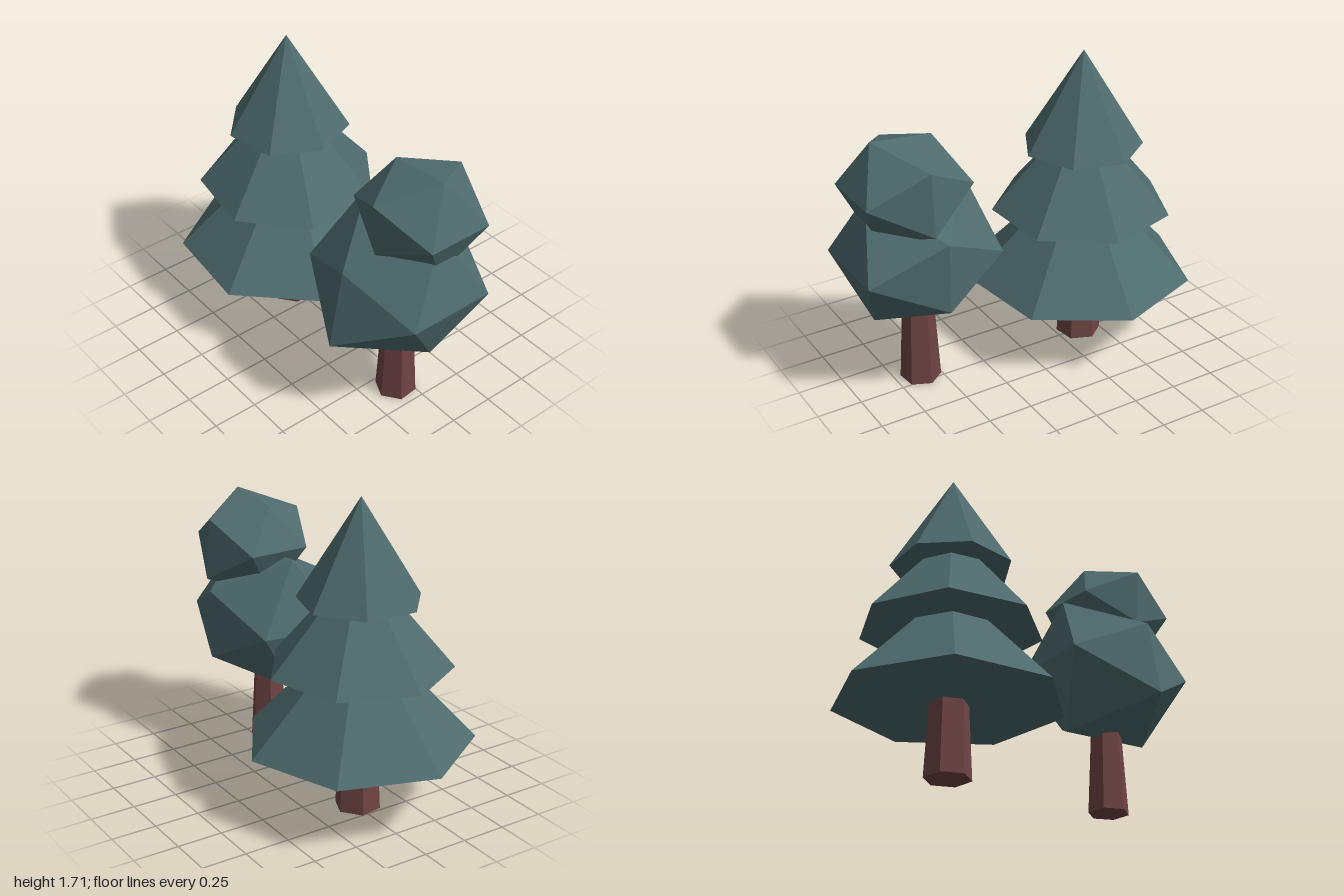
import * as THREE from 'three';
import { ConvexGeometry } from 'three/addons/geometries/ConvexGeometry.js';

const foliage = new THREE.MeshStandardMaterial({ color: 0x4e6b6e });
foliage.name = 'foliage green';
const bark = new THREE.MeshStandardMaterial({ color: 0x704444 });
bark.name = 'bark brown';

// Faceted, closed, tapered prism standing on y0, turned by a number of degrees
function prism(name, material, rTop, rBottom, y0, y1, sides, turn) {
  const geometry = new THREE.CylinderGeometry(
    rTop, rBottom, y1 - y0, sides, 1, false, THREE.MathUtils.degToRad(turn)
  ).toNonIndexed();
  geometry.computeVertexNormals();
  const mesh = new THREE.Mesh(geometry, material);
  mesh.name = name;
  mesh.position.y = (y0 + y1) / 2;
  return mesh;
}

// Irregular icosahedron spanned by its twelve corners
function leafBall(name, corners) {
  const points = corners.map((c) => new THREE.Vector3(...c));
  const mesh = new THREE.Mesh(new ConvexGeometry(points), foliage);
  mesh.name = name;
  return mesh;
}

// Conifer: hexagonal trunk under three seven-sided tiers
function createConifer() {
  const tree = new THREE.Group();
  tree.name = 'conifer';
  tree.position.set(-0.385, 0, 0.013);
  tree.add(prism('coniferTrunk', bark, 0.103, 0.125, 0, 0.42, 6, 8));
  const tiers = [
    ['lowerTier', 0.617, 0.4, 1.06, 19.6],
    ['middleTier', 0.493, 0.81, 1.39, 16],
    ['topTier', 0.33, 1.17, 1.71, 35.6],
  ];
  for (const [name, radius, y0, y1, turn] of tiers) {
    tree.add(prism(name, foliage, 0, radius, y0, y1, 7, turn));
  }
  return tree;
}

// Round tree: hexagonal trunk under two stacked faceted crowns
function createRoundTree() {
  const tree = new THREE.Group();
  tree.name = 'roundTree';
  const trunk = prism('roundTreeTrunk', bark, 0.083, 0.111, 0, 0.5, 6, 6);
  trunk.position.x = 0.608;
  trunk.position.z = 0.068;
  tree.add(trunk);
  tree.add(leafBall('largeCrown', [
    [1.0, 0.78, 0.305], [1.0, 0.78, -0.18], [0.19, 0.78, 0.32], [0.225, 0.78, -0.18],
    [0.605, 0.545, 0.52], [0.605, 0.975, 0.44], [0.605, 0.59, -0.305], [0.605, 0.98, -0.305],
    [0.33, 1.17, 0.06], [0.88, 1.17, 0.06], [0.33, 0.4, 0.07], [0.865, 0.43, 0.07],
  ]));
  tree.add(leafBall('smallCrown', [
    [0.98, 1.205, 0.2], [0.98, 1.205, -0.165], [0.385, 1.21, 0.19], [0.38, 1.21, -0.16],
    [0.67, 1.36, 0.31], [0.67, 1.06, 0.29], [0.67, 1.37, -0.26], [0.67, 1.03, -0.285],
    [0.855, 1.472, 0.03], [0.515, 1.44, 0.03], [0.515, 0.92, 0.03], [0.855, 0.92, 0.03],
  ]));
  return tree;
}

export function createModel() {
  const model = new THREE.Group();
  model.name = 'treePair';
  model.add(createConifer(), createRoundTree());
  return model;
}
